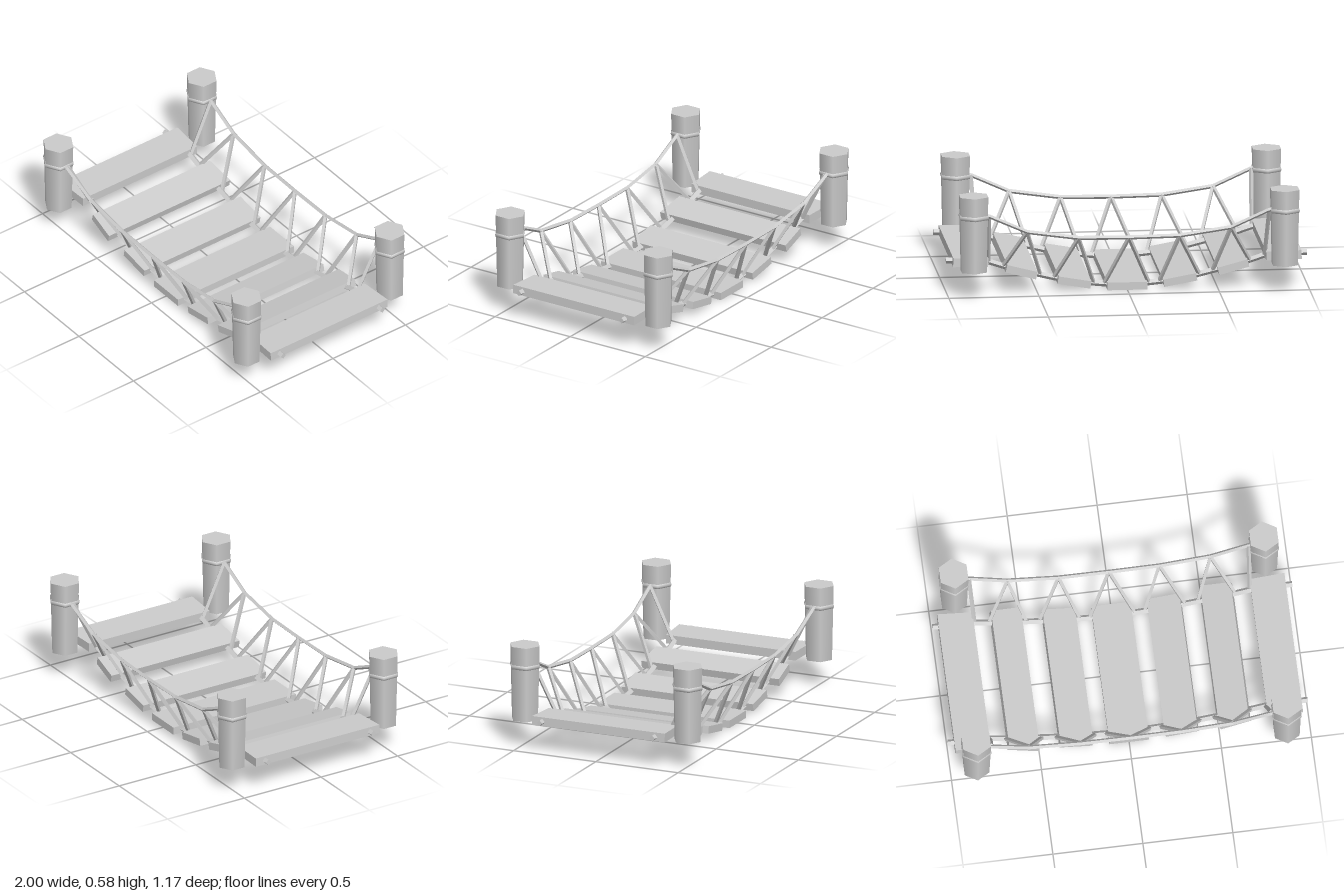
import * as THREE from 'three';

const smooth = new THREE.MeshStandardMaterial({ color: 0xcccccc });
const faceted = new THREE.MeshStandardMaterial({ color: 0xcccccc, flatShading: true });

function addMesh(group, name, geometry, material = faceted) {
  const mesh = new THREE.Mesh(geometry, material);
  mesh.name = name;
  group.add(mesh);
  return mesh;
}

// Sweeps a four-sided section along points [x, y, z] that run towards +x
function ropeGeometry(points, radius) {
  const rows = points.length - 1;
  const geometry = new THREE.CylinderGeometry(radius, radius, 1, 4, rows);
  const pos = geometry.attributes.position;
  for (let i = 0; i < pos.count; i++) {
    const [x, y, z] = points[Math.round((0.5 - pos.getY(i)) * rows)];
    pos.setXYZ(i, x, y + pos.getX(i), z + pos.getZ(i));
  }
  geometry.computeVertexNormals();
  return geometry;
}

// Completes a left half of [x, y, z] points (ending at or before x = 0) by mirroring
function mirrored(half) {
  const other = half.filter(p => p[0] !== 0).map(([x, y, z]) => [-x, y, z]).reverse();
  return [...half, ...other];
}

// Straight four-sided cord between two points
function addCord(group, name, from, to, radius) {
  const a = new THREE.Vector3(...from), b = new THREE.Vector3(...to);
  const dir = b.clone().sub(a);
  const cord = addMesh(group, name, new THREE.CylinderGeometry(radius, radius, dir.length(), 4));
  cord.position.copy(a).add(b).multiplyScalar(0.5);
  cord.quaternion.setFromUnitVectors(new THREE.Vector3(0, 1, 0), dir.normalize());
}

// Tilted board whose half length differs between its outer (-x) and inner (+x) edge
function plankGeometry(width, thickness, outerHalf, innerHalf, tilt) {
  const geometry = new THREE.BoxGeometry(width, thickness, 2);
  const pos = geometry.attributes.position;
  for (let i = 0; i < pos.count; i++) {
    pos.setZ(i, pos.getZ(i) * (pos.getX(i) < 0 ? outerHalf : innerHalf));
  }
  geometry.rotateZ(-tilt);
  geometry.computeVertexNormals();
  return geometry;
}

export function createModel() {
  const bridge = new THREE.Group();
  bridge.name = 'ropeBridge';

  // Planks: x, y, width, thickness, outer half length, inner half length, tilt
  const planks = [
    [-0.868, 0.176, 0.195, 0.05, 0.403, 0.393, 0.03],
    [-0.587, 0.118, 0.172, 0.043, 0.403, 0.418, 0.235],
    [-0.293, 0.05, 0.185, 0.042, 0.4, 0.4, 0.175],
    [0, 0.023, 0.22, 0.043, 0.4, 0.4, 0],
  ];
  for (const [x, y, ...shape] of planks) {
    for (const side of x === 0 ? [1] : [1, -1]) {
      const plank = addMesh(bridge, 'plank', plankGeometry(...shape));
      plank.position.set(side * x, y, 0);
      if (side < 0) plank.rotation.y = Math.PI;
    }
  }

  // Hexagonal posts, each with a rope collar
  const postGeometry = new THREE.CylinderGeometry(0.089, 0.079, 0.427, 6);
  const collarGeometry = new THREE.LatheGeometry(
    [[0.08, -0.015], [0.088, -0.011], [0.092, 0], [0.088, 0.011], [0.08, 0.015]]
      .map(([r, y]) => new THREE.Vector2(r, y)), 6);
  for (const sx of [-1, 1]) {
    for (const sz of [-1, 1]) {
      const post = new THREE.Group();
      post.name = 'post';
      addMesh(post, 'postShaft', postGeometry, smooth).position.y = 0.3635;
      addMesh(post, 'postCollar', collarGeometry, smooth).position.y = 0.46;
      post.position.set(sx * 0.862, 0, sz * 0.494);
      bridge.add(post);
    }
  }

  // Ropes and hanging cords on both sides
  const deckLine = [[-1, 0.179], [-0.965, 0.178], [-0.765, 0.168], [-0.675, 0.138],
    [-0.5, 0.093], [-0.39, 0.066], [-0.2, 0.035], [-0.11, 0.026]];
  const railLine = [[-0.8, 0.465, 0.497], [-0.772, 0.458, 0.497], [-0.565, 0.365, 0.493],
    [-0.28, 0.324, 0.49], [0, 0.32, 0.49]];
  // Cords: top x, top y, bottom x, bottom y
  const cords = [
    [-0.777, 0.46, -0.765, 0.16], [-0.565, 0.365, -0.685, 0.138],
    [-0.565, 0.365, -0.475, 0.083], [-0.28, 0.324, -0.405, 0.066],
    [-0.28, 0.324, -0.18, 0.03], [0, 0.32, -0.125, 0.026],
  ];
  for (const sz of [-1, 1]) {
    const deckZ = sz * 0.342;
    addMesh(bridge, 'deckRope', ropeGeometry(mirrored(deckLine.map(([x, y]) => [x, y, deckZ])), 0.017));
    addMesh(bridge, 'handRope', ropeGeometry(mirrored(railLine.map(([x, y, z]) => [x, y, sz * z])), 0.012));
    for (const sx of [-1, 1]) {
      for (const [x0, y0, x1, y1] of cords) {
        addCord(bridge, 'hangingCord', [-sx * x0, y0, sz * 0.49], [-sx * x1, y1, deckZ], 0.012);
      }
    }
  }
  return bridge;
}
